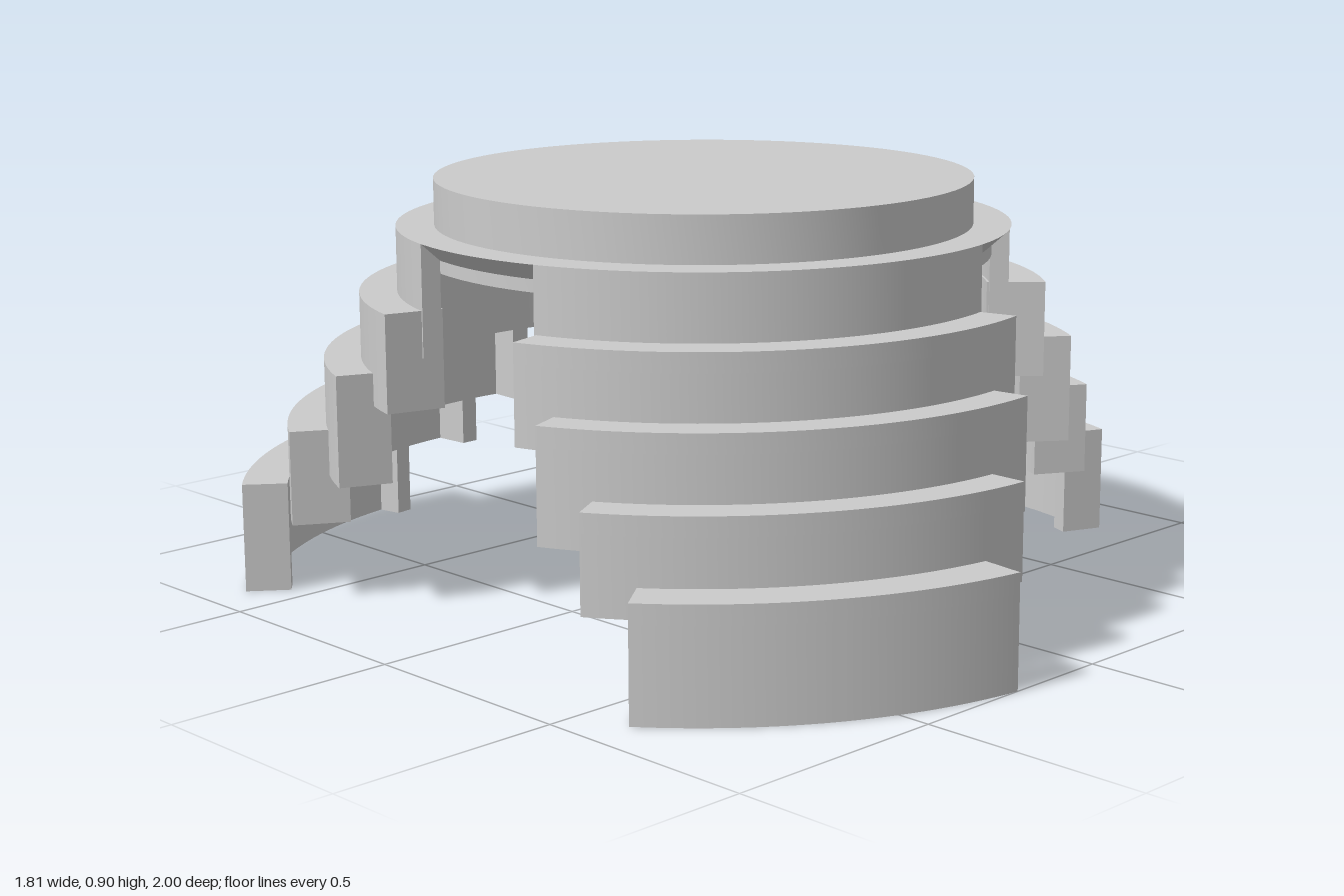
import * as THREE from 'three';
import { toCreasedNormals } from 'three/addons/utils/BufferGeometryUtils.js';

const material = new THREE.MeshStandardMaterial({ color: 0xcccccc });
const WALL = 0.042;  // thickness of the curved walls and their top ledges
const CAP = 0.042;   // thickness of the end caps

// Each tier of an arm: outer radius, innermost radius, half angle (degrees), bottom, top
const TIERS = [
  { outer: 1.0086, inner: 0.911, half: 22.5, y0: 0, y1: 0.24 },
  { outer: 0.906, inner: 0.782, half: 29.5, y0: 0.175, y1: 0.38 },
  { outer: 0.824, inner: 0.709, half: 37.5, y0: 0.28, y1: 0.52 },
  { outer: 0.745, inner: 0.617, half: 44.3, y0: 0.45, y1: 0.66 },
  { outer: 0.664, inner: 0.622, half: 44.7, y0: 0.56, y1: 0.8 },
];

// Plan of a plain ring sector
function sector(outer, inner, a) {
  const s = new THREE.Shape();
  s.absarc(0, 0, outer, -a, a, false);
  s.absarc(0, 0, inner, a, -a, true);
  s.closePath();
  return s;
}

// Plan of a thin curved wall with end caps reaching inwards
function cappedWall(outer, inner, a) {
  const b = a - CAP / inner;
  const s = new THREE.Shape();
  s.absarc(0, 0, outer, -a, a, false);
  s.absarc(0, 0, inner, a, b, true);
  s.absarc(0, 0, outer - WALL, b, -b, true);
  s.absarc(0, 0, inner, -b, -a, true);
  s.closePath();
  return s;
}

// Raises a plan shape from y0 to y1
function raise(name, shape, y0, y1) {
  const g = new THREE.ExtrudeGeometry(shape, { depth: y1 - y0, bevelEnabled: false, curveSegments: 40 });
  g.rotateX(-Math.PI / 2);
  g.translate(0, y0, 0);
  const mesh = new THREE.Mesh(toCreasedNormals(g, 0.5), material);
  mesh.name = name;
  return mesh;
}

function createArm() {
  const arm = new THREE.Group();
  arm.name = 'steppedArm';
  TIERS.forEach((t, i) => {
    const a = THREE.MathUtils.degToRad(t.half);
    const tier = new THREE.Group();
    tier.name = 'tier' + (i + 1);
    if (t.outer - t.inner > WALL + 0.01) {
      // Hollow tier: capped wall below, solid ledge on top
      const split = t.y1 - WALL;
      tier.add(raise('tierWall', cappedWall(t.outer, t.inner, a), t.y0, split));
      tier.add(raise('tierLedge', sector(t.outer, t.inner, a), split, t.y1));
    } else {
      tier.add(raise('tierWall', sector(t.outer, t.inner, a), t.y0, t.y1));
    }
    arm.add(tier);
  });
  return arm;
}

export function createModel() {
  const model = new THREE.Group();
  model.name = 'steppedDome';
  // The hub sits off centre so that the three arms are centred as a whole
  const hub = new THREE.Group();
  hub.name = 'hub';
  hub.position.x = -0.104;
  model.add(hub);

  // Three arms around the hub
  for (let i = 0; i < 3; i++) {
    const arm = createArm();
    arm.rotation.y = (i * Math.PI * 2) / 3;
    hub.add(arm);
  }

  // Round hollow cap with a thin collar that tapers underneath
  const profile = [
    [0, 0.85], [0.56, 0.85], [0.565, 0.8], [0.605, 0.762], [0.605, 0.735],
    [0.622, 0.735], [0.622, 0.762], [0.664, 0.8], [0.582, 0.8], [0.582, 0.9], [0, 0.9],
  ].map(([r, y]) => new THREE.Vector2(r, y));
  const cap = new THREE.Mesh(toCreasedNormals(new THREE.LatheGeometry(profile, 96), 0.5), material);
  cap.name = 'roundCap';
  hub.add(cap);
  return model;
}
